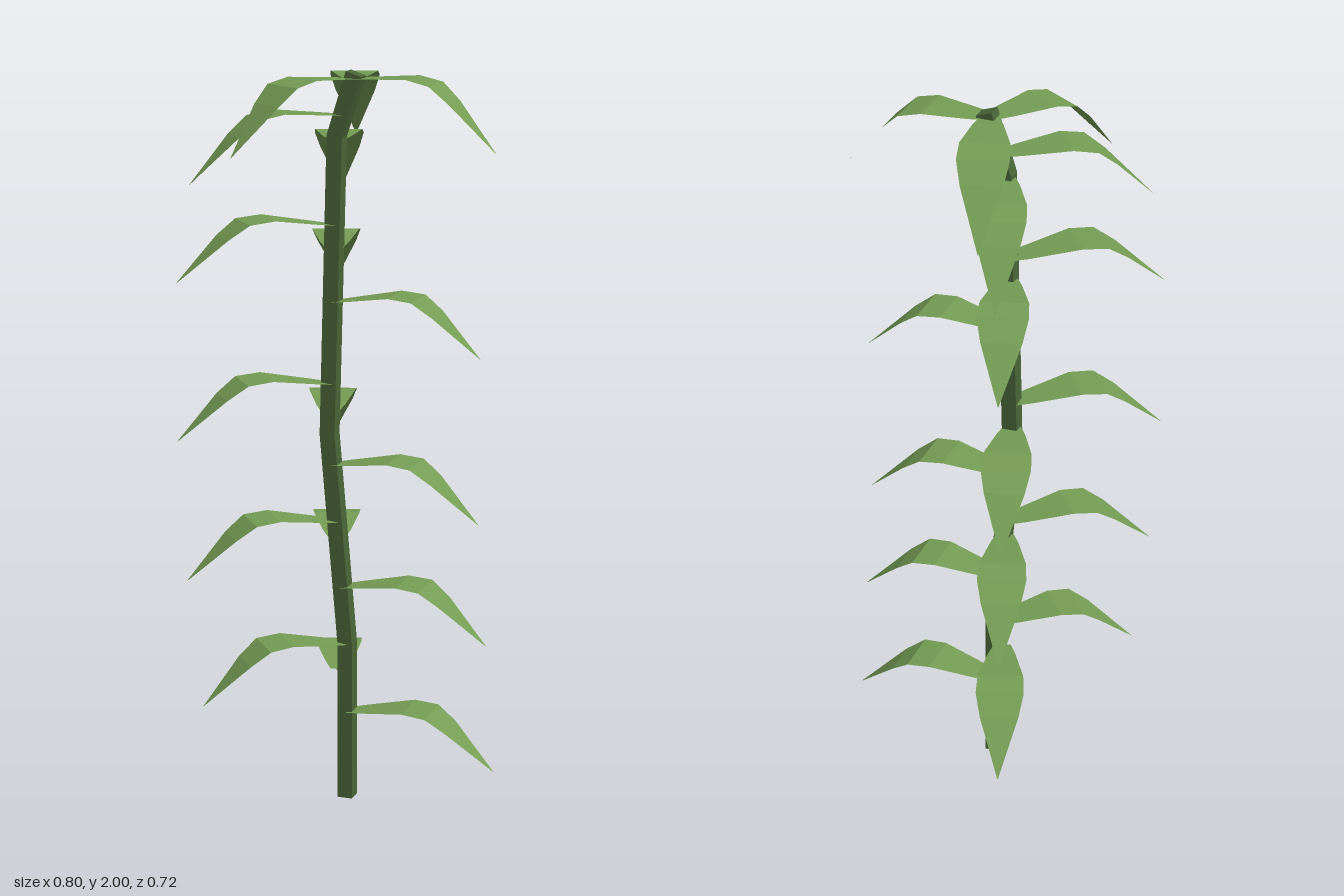
import * as THREE from 'three';

const stalkMaterial = new THREE.MeshStandardMaterial({ color: 0x4a6637 });
stalkMaterial.name = 'stalk green';
const leafMaterial = new THREE.MeshStandardMaterial({ color: 0x759c54, side: THREE.DoubleSide });
leafMaterial.name = 'leaf green';

const AXIS_Z = 0.035; // depth of the stalk's centre line

// Faceted geometry from points and triangle indices
function faceted(points, index) {
  const indexed = new THREE.BufferGeometry();
  indexed.setAttribute('position', new THREE.Float32BufferAttribute(points, 3));
  indexed.setIndex(index);
  const geometry = indexed.toNonIndexed();
  geometry.computeVertexNormals();
  return geometry;
}

// Square stalk swept through a crooked path: [x, y, tilt of the ring]
function stalkGeometry() {
  const path = [[-0.018, 0, 0], [-0.018, 0.45, 0], [-0.067, 1.03, 0], [-0.045, 1.83, -0.003], [0.008, 1.993, -0.007]];
  const h = 0.021;
  const points = [], index = [];
  for (const [x, y, tilt] of path) {
    for (const [sx, sz] of [[1, 1], [1, -1], [-1, -1], [-1, 1]]) {
      points.push(x + sx * h, y + sx * tilt, AXIS_Z + sz * h);
    }
  }
  for (let k = 0; k < path.length - 1; k++) {
    for (let i = 0; i < 4; i++) {
      const a = k * 4 + i, b = k * 4 + (i + 1) % 4;
      index.push(a, b, b + 4, a, b + 4, a + 4);
    }
  }
  const top = (path.length - 1) * 4;
  index.push(0, 2, 1, 0, 3, 2, top, top + 1, top + 2, top, top + 2, top + 3);
  return faceted(points, index);
}

// Arched blade sections: [fraction of the span, height, half width]
const BLADE = [[0, 0, 0.024], [0.12, 0.008, 0.038], [0.42, 0.028, 0.063], [0.58, 0.021, 0.066], [0.71, -0.018, 0.053], [1, -0.13, 0.001]];

function leafGeometry(rootX, rootY, tipX, tipY, tipZ) {
  const dx = tipX - rootX, dz = tipZ - AXIS_Z;
  const span = Math.hypot(dx, dz);
  const droop = tipY - rootY + 0.13;
  const points = [], index = [];
  BLADE.forEach(([t, rise, half], k) => {
    for (const side of [-1, 1]) {
      points.push(
        rootX + dx * t - side * half * dz / span,
        rootY + rise + droop * t,
        AXIS_Z + dz * t + side * half * dx / span
      );
    }
    if (k > 0) {
      const a = (k - 1) * 2;
      index.push(a, a + 1, a + 3, a, a + 3, a + 2);
    }
  });
  return faceted(points, index);
}

// Each leaf: root x, root y, tip x, tip y, tip z
const LEAVES = {
  leftLeaf: [
    [-0.018, 0.25, 0.4, 0.12, 0.033], [-0.032, 0.605, 0.375, 0.475, 0.033], [-0.06, 0.945, 0.35, 0.81, 0.033],
    [-0.056, 1.39, 0.35, 1.26, 0.033], [0.0, 1.98, 0.385, 1.8, 0.033]
  ],
  frontLeaf: [
    [-0.02, 0.445, -0.34, 0.31, 0.288], [-0.047, 0.788, -0.38, 0.66, 0.29], [-0.063, 1.168, -0.402, 1.04, 0.29],
    [-0.052, 1.595, -0.393, 1.465, 0.302], [-0.03, 1.885, -0.36, 1.72, 0.282], [0.0, 1.98, -0.215, 1.805, 0.358]
  ],
  backLeaf: [
    [-0.04, 0.367, -0.18, 0.217, -0.355], [-0.047, 0.742, -0.183, 0.595, -0.357], [-0.066, 1.09, -0.185, 0.943, -0.352],
    [-0.053, 1.535, -0.177, 1.387, -0.352], [-0.045, 1.822, -0.162, 1.635, -0.337], [0.0, 1.98, -0.117, 1.79, -0.335]
  ]
};

export function createModel() {
  const model = new THREE.Group();
  model.name = 'plant';

  const stalk = new THREE.Mesh(stalkGeometry(), stalkMaterial);
  stalk.name = 'stalk';
  model.add(stalk);

  for (const [name, row] of Object.entries(LEAVES)) {
    row.forEach((leaf, i) => {
      const mesh = new THREE.Mesh(leafGeometry(...leaf), leafMaterial);
      mesh.name = name + (i + 1);
      model.add(mesh);
    });
  }
  return model;
}
